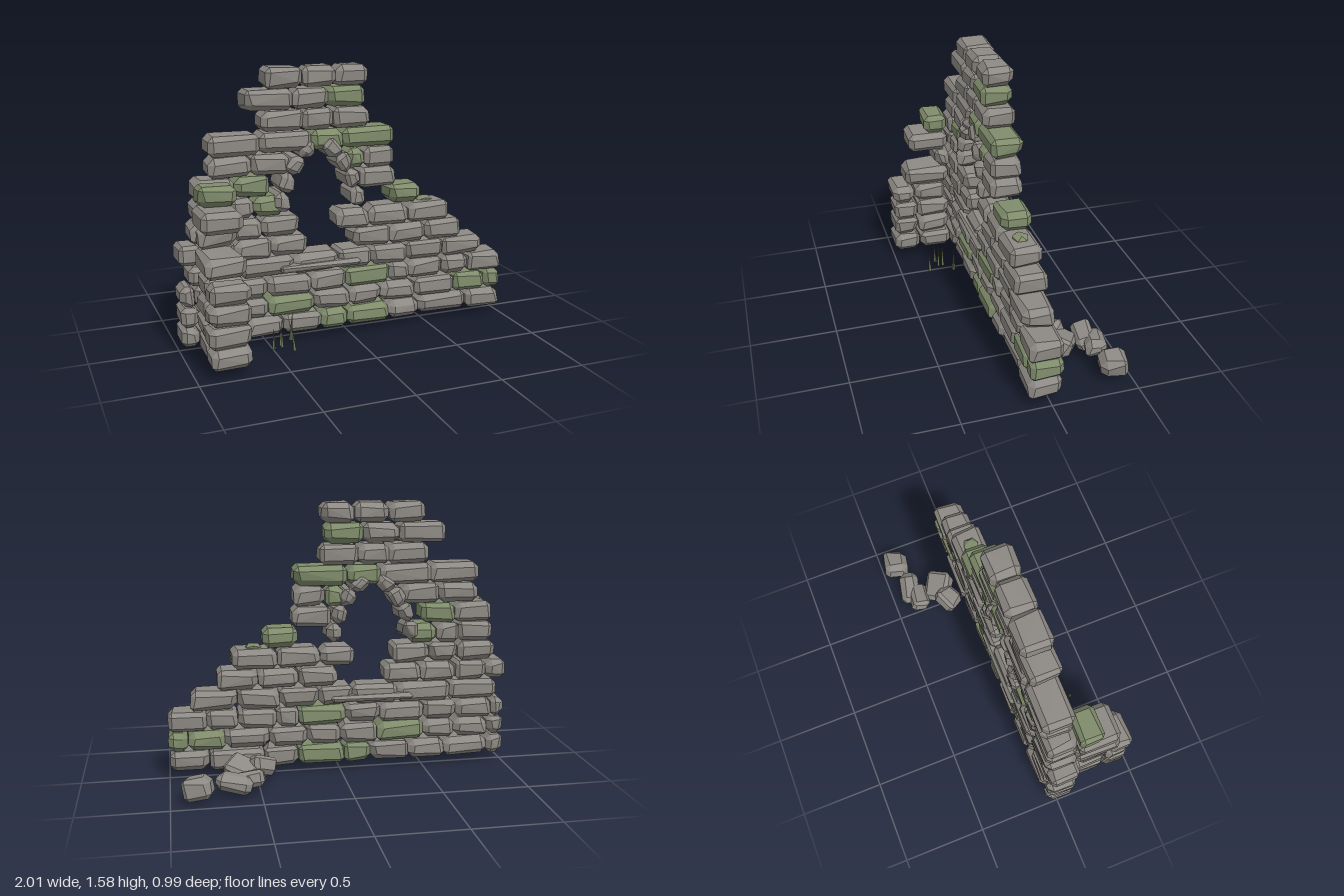
import * as THREE from 'three';
import { ConvexGeometry } from 'three/addons/geometries/ConvexGeometry.js';

const mat = (name, color) => {
  const m = new THREE.MeshStandardMaterial({ color, flatShading: true });
  m.name = name;
  return m;
};

export function createModel() {
  const model = new THREE.Group();
  model.name = 'ruinedWall';
  const stone = mat('grey stone', 0x8d8984);
  const moss = mat('mossy stone', 0x7f8c6b);
  const grass = mat('dry grass', 0x6f7755);

  // Seeded noise in -1..1
  let seed = 11;
  const rnd = () => {
    seed = (seed * 16807) % 2147483647;
    return (seed / 2147483647) * 2 - 1;
  };

  // Rough block: a box with its corners cut unevenly
  function blockGeometry(w, h, d, chamfer = 0.027) {
    const pts = [];
    for (const sx of [-1, 1]) for (const sy of [-1, 1]) for (const sz of [-1, 1]) {
      const c = Math.min(chamfer, h * 0.3, w * 0.3) * (1 + rnd() * 0.4);
      const x = w / 2 - Math.abs(rnd()) * 0.006;
      const y = h / 2 - Math.abs(rnd()) * 0.006;
      const z = d / 2 - Math.abs(rnd()) * 0.008;
      pts.push(
        new THREE.Vector3(sx * x, sy * (y - c), sz * (z - c)),
        new THREE.Vector3(sx * (x - c), sy * y, sz * (z - c)),
        new THREE.Vector3(sx * (x - c), sy * (y - c), sz * z));
    }
    return new ConvexGeometry(pts);
  }

  function block(parent, name, size, pos, material = stone, rot = [0, 0, 0]) {
    const mesh = new THREE.Mesh(blockGeometry(...size), material);
    mesh.name = name;
    mesh.position.set(...pos);
    mesh.rotation.set(...rot);
    parent.add(mesh);
    return mesh;
  }

  const group = (name) => {
    const g = new THREE.Group();
    g.name = name;
    model.add(g);
    return g;
  };

  const rowY = (i) => 0.12 + i * 0.118;
  const wallZ = 0.025;

  // Wall courses, bottom to top: runs of joint positions, with the mossy stones of each run
  const courses = [
    [[[-1, -0.9, -0.63, -0.41, -0.18, -0.02, 0.25, 0.45, 0.77, 0.995], [4, 5]]],
    [[[-1, -0.9, -0.69, -0.5, -0.22, 0, 0.2, 0.42, 0.68, 0.89, 1], [3, 8, 9]]],
    [[[-1, -0.92, -0.7, -0.5, -0.24, -0.03, 0.25, 0.38, 0.6, 0.78, 1], [5]]],
    [[[-0.95, -0.66, -0.34, -0.07, 0.13, 0.36, 0.6, 0.87], []]],
    [[[-1, -0.88, -0.69, -0.48, -0.26], []], [[0.02, 0.25, 0.48, 0.715], []]],
    [[[-0.93, -0.7, -0.53, -0.31], []], [[-0.08, 0.12, 0.37, 0.63], []]],
    [[[-0.91, -0.7, -0.57, -0.4], [2]], [[0.25, 0.45], [0]]],
    [[[-0.9, -0.68, -0.48], [1]], [[0.06, 0.28], []]],
    [[[-0.82, -0.58, -0.36], []], [[-0.02, 0.09, 0.27], [0]]],
    [[[-0.82, -0.53, -0.23, -0.04, 0.27], [2, 3]]],
    [[[-0.52, -0.28, -0.1, 0.12], []]],
    [[[-0.61, -0.34, -0.13, 0.09], [2]]],
    [[[-0.49, -0.28, -0.08, 0.11], []]],
  ];
  const wall = group('wall');
  courses.forEach((runs, row) => {
    for (const [joints, mossy] of runs) {
      for (let i = 0; i + 1 < joints.length; i++) {
        const a = joints[i], b = joints[i + 1];
        block(wall, 'wallStone', [b - a + 0.004, 0.119, 0.19 + rnd() * 0.008],
          [(a + b) / 2, rowY(row), wallZ + rnd() * 0.006],
          mossy.includes(i) ? moss : stone, [0, rnd() * 0.02, rnd() * 0.015]);
      }
    }
  });

  // Pointed window arch, mirrored about the opening
  const arch = group('windowArch');
  const archStones = [[0.225, 0.85, 0.04], [0.195, 0.955, 0.3], [0.145, 1.05, 0.6], [0.072, 1.13, 0.75]];
  for (const side of [-1, 1]) {
    for (const [dx, y, tilt] of archStones) {
      block(arch, 'archStone', [0.092, 0.112, 0.23], [-0.185 + side * dx, y, wallZ], stone, [0, 0, side * tilt]);
    }
  }

  // Window sill
  block(model, 'windowSill', [0.49, 0.045, 0.235], [-0.185, 0.455, wallZ]);

  // Broken side wall: course, back and front end in z
  const sideWall = group('sideWall');
  const sideStones = [
    [0, 0.12, 0.33], [0, 0.33, 0.495], [1, 0.13, 0.335], [1, 0.335, 0.49],
    [2, 0.12, 0.335], [2, 0.335, 0.49], [3, 0.15, 0.35], [3, 0.35, 0.495],
    [4, 0.12, 0.41], [5, 0.11, 0.21], [6, 0.12, 0.375], [7, 0.12, 0.27],
  ];
  for (const [row, z0, z1] of sideStones) {
    block(sideWall, 'sideStone', [0.225 + rnd() * 0.012, 0.12, z1 - z0],
      [-0.808 + rnd() * 0.008, rowY(row), (z0 + z1) / 2], row === 7 ? moss : stone);
  }

  // Fallen stones behind the wall
  const rubble = group('fallenStones');
  const fallen = [
    [[0.16, 0.11, 0.15], [0.49, 0.11, -0.16], [0.35, 0.6, 0.15]],
    [[0.2, 0.12, 0.17], [0.59, 0.095, -0.19], [-0.35, -0.6, 0.1]],
    [[0.19, 0.1, 0.12], [0.57, 0.1, -0.34], [0.3, -0.15, -0.15]],
    [[0.21, 0.1, 0.13], [0.65, 0.1, -0.375], [0.1, -0.25, 0.2]],
    [[0.16, 0.125, 0.16], [0.85, 0.1, -0.405], [0.1, -0.2, -0.15]],
  ];
  for (const [size, pos, rot] of fallen) block(rubble, 'fallenStone', size, pos, stone, rot);

  // Moss clump on the stepped edge
  const clump = new THREE.Mesh(new THREE.IcosahedronGeometry(0.052, 0), moss);
  clump.name = 'mossClump';
  clump.scale.y = 0.5;
  clump.position.set(0.5, 0.768, 0.025);
  model.add(clump);

  // Grass blades: x, z, height, lean
  const tuft = group('grassTuft');
  for (const [x, z, h, lean] of [
    [-0.525, 0.275, 0.13, -0.12], [-0.475, 0.26, 0.15, 0.1], [-0.47, 0.235, 0.17, -0.08],
    [-0.43, 0.33, 0.14, 0.12], [-0.39, 0.18, 0.17, -0.08],
  ]) {
    const blade = new THREE.Mesh(new THREE.ConeGeometry(0.011, h, 4), grass);
    blade.name = 'grassBlade';
    blade.position.set(x, 0.055 + h / 2, z);
    blade.rotation.set(lean * 0.6, x * 9, -lean);
    tuft.add(blade);
  }

  return model;
}
